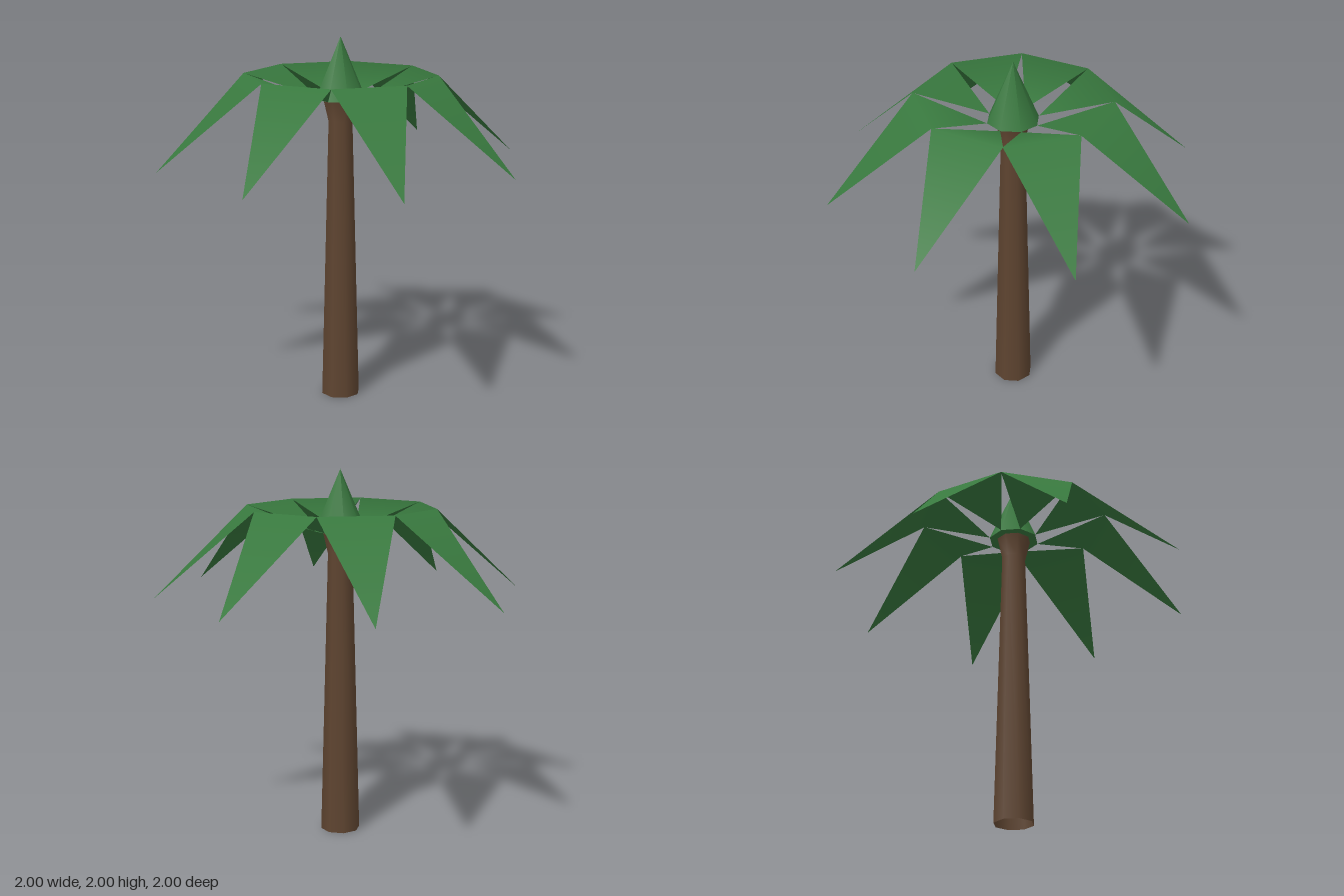
import * as THREE from 'three';

const SIDES = 8;

// Folded diamond blade pointing along +z: inner point, two shoulders, drooping tip
function leafGeometry() {
  const g = new THREE.BufferGeometry();
  g.setAttribute('position', new THREE.Float32BufferAttribute([
    0, 1.67, 0.14,
    0.2, 1.8, 0.48,
    -0.2, 1.8, 0.48,
    0, 1.33, 1,
  ], 3));
  g.setIndex([0, 2, 1, 2, 3, 1]);
  g.computeVertexNormals();
  return g;
}

export function createModel() {
  const tree = new THREE.Group();
  tree.name = 'palmTree';
  const bark = new THREE.MeshStandardMaterial({ color: 0x5e4430, side: THREE.DoubleSide });
  const green = new THREE.MeshStandardMaterial({ color: 0x38783e, side: THREE.DoubleSide });

  // Tapered hollow trunk that flares out under the crown
  const profile = [[0.108, 0], [0.067, 1.55], [0.095, 1.67]].map(([r, y]) => new THREE.Vector2(r, y));
  const trunk = new THREE.Mesh(new THREE.LatheGeometry(profile, SIDES), bark);
  trunk.name = 'trunk';
  tree.add(trunk);

  // Pointed crown bud
  const bud = new THREE.Mesh(new THREE.ConeGeometry(0.14, 0.33, SIDES), green);
  bud.position.y = 1.835;
  bud.name = 'crownBud';
  tree.add(bud);

  // Ring of leaves meeting at their shoulders
  const leaves = new THREE.Group();
  leaves.name = 'leaves';
  const blade = leafGeometry();
  for (let i = 0; i < SIDES; i++) {
    const leaf = new THREE.Mesh(blade, green);
    leaf.rotation.y = (i / SIDES) * Math.PI * 2;
    leaf.name = `leaf${i + 1}`;
    leaves.add(leaf);
  }
  tree.add(leaves);
  return tree;
}
